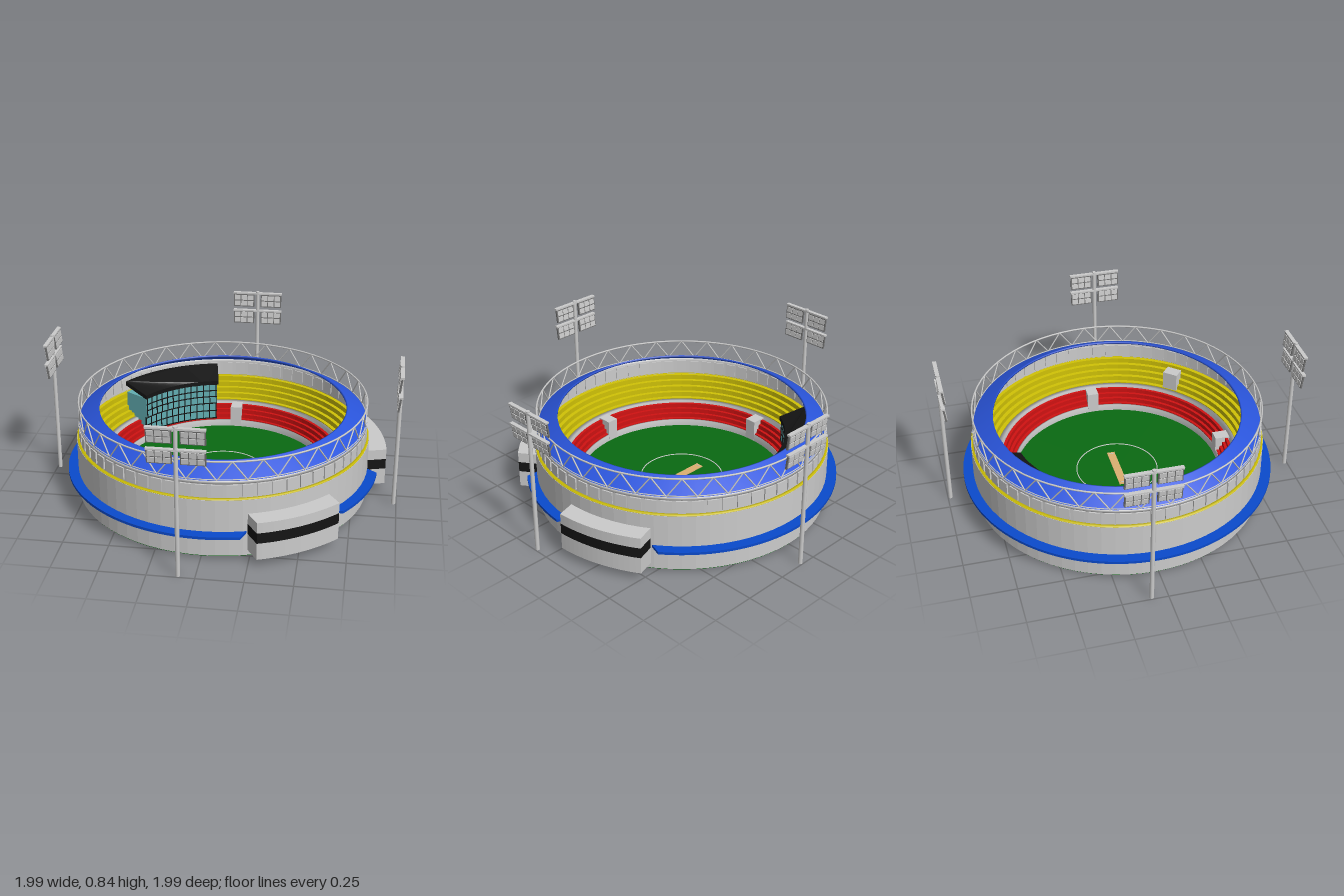
import * as THREE from 'three';
import { mergeGeometries } from 'three/addons/utils/BufferGeometryUtils.js';

const GREY = 0xcccccc, BLUE = 0x2a55dc, LEDGE = 0x0a4acc, YELLOW = 0xd0c206, RED = 0xd01212;
const GREEN = 0x0a6a12, BLACK = 0x141414, GLASS = 0x62aeb2, SAND = 0xdcb070, WHITE = 0xffffff;
const SEG = 72, RAD = Math.PI / 180;

function add(parent, name, geometry, color = GREY, flat = false) {
  const material = new THREE.MeshStandardMaterial({ color, flatShading: flat, side: THREE.DoubleSide });
  const mesh = new THREE.Mesh(geometry, material);
  mesh.name = name;
  parent.add(mesh);
  return mesh;
}

const lathe = (points) => new THREE.LatheGeometry(points.map(([r, y]) => new THREE.Vector2(r, y)), SEG);
const box = (w, h, d, x, y, z) => new THREE.BoxGeometry(w, h, d).translate(x, y, z);

// Ring with a rectangular section
const ring = (r0, r1, y0, y1) => lathe([[r0, y0], [r1, y0], [r1, y1], [r0, y1], [r0, y0]]);

// Box placed at a radius and an angle (degrees from +x towards +z), width along the tangent
const radialBox = (w, h, d, r, y, deg) => box(w, h, d, 0, y, r).rotateY((90 - deg) * RAD);

// Curved block between two radii; spread widens (or narrows) the inner side in degrees
function arcBlock(r0, r1, a0, a1, y0, y1, spread = 0) {
  const shape = new THREE.Shape();
  shape.absarc(0, 0, r1, a0 * RAD, a1 * RAD, false);
  shape.absarc(0, 0, r0, (a1 + spread) * RAD, (a0 - spread) * RAD, true);
  shape.closePath();
  const curveSegments = Math.max(8, Math.round((a1 - a0) / 4));
  return new THREE.ExtrudeGeometry(shape, { depth: y1 - y0, bevelEnabled: false, curveSegments })
    .rotateX(Math.PI / 2).translate(0, y1, 0);
}

// Thin round bar between two points
function bar(a, b, r) {
  const dir = b.clone().sub(a);
  const q = new THREE.Quaternion().setFromUnitVectors(new THREE.Vector3(0, 1, 0), dir.clone().normalize());
  const mid = a.clone().add(b).multiplyScalar(0.5);
  return new THREE.CylinderGeometry(r, r, dir.length(), 6).applyQuaternion(q).translate(mid.x, mid.y, mid.z);
}

// Stepped seating rising from (r0, y0) to (r1, y1)
function tiers(r0, y0, r1, y1, n, yBase) {
  const points = [[r0, yBase]];
  for (let i = 0; i < n; i++) {
    const y = y0 + (y1 - y0) * i / (n - 1);
    points.push([r0 + (r1 - r0) * i / n, y], [r0 + (r1 - r0) * (i + 1) / n, y]);
  }
  points.push([r1, yBase]);
  return lathe(points);
}

const polar = (r, y, a) => new THREE.Vector3(r * Math.cos(a), y, r * Math.sin(a));

function buildField(bowl) {
  add(bowl, 'field', new THREE.CylinderGeometry(0.822, 0.822, 0.07, SEG).translate(0, 0.05, 0), GREEN);
  add(bowl, 'innerCircleLine', ring(0.231, 0.236, 0.085, 0.088), WHITE);
  add(bowl, 'pitch', box(0.3, 0.006, 0.045, 0, 0.087, 0), SAND);
  for (const s of [-1, 1]) add(bowl, 'creaseLine', box(0.004, 0.002, 0.025, s * 0.135, 0.091, 0), WHITE);
}

function buildStands(bowl) {
  add(bowl, 'boundaryWall', ring(0.588, 0.596, 0.085, 0.125));
  add(bowl, 'lowerSeating', tiers(0.596, 0.13, 0.662, 0.205, 4, 0.085), RED, true);
  add(bowl, 'walkway', ring(0.671, 0.695, 0.085, 0.215));
  add(bowl, 'upperSeating', tiers(0.695, 0.22, 0.808, 0.335, 5, 0.085), YELLOW, true);
  const blocks = [0, 90, 180, 270].map((a) => radialBox(0.066, 0.125, 0.084, 0.628, 0.15, a));
  add(bowl, 'sightScreens', mergeGeometries(blocks));
  add(bowl, 'scoreBox', radialBox(0.09, 0.13, 0.07, 0.732, 0.265, 42));
}

function buildShell(bowl) {
  add(bowl, 'outerWall', ring(0.812, 0.826, 0.02, 0.345), GREY, true);
  add(bowl, 'yellowBand', ring(0.806, 0.824, 0.338, 0.35), YELLOW);
  add(bowl, 'upperWall', ring(0.798, 0.806, 0.345, 0.45), GREY, true);
  add(bowl, 'upperWallTrim', ring(0.794, 0.811, 0.432, 0.45));
  const panels = [];
  for (let i = 0; i < 64; i++) panels.push(radialBox(0.058, 0.068, 0.022, 0.802, 0.393, i * 360 / 64));
  add(bowl, 'wallPanels', mergeGeometries(panels));
  add(bowl, 'roof', lathe([[0.81, 0.45], [0.70, 0.512], [0.693, 0.512], [0.693, 0.502], [0.80, 0.444], [0.81, 0.45]]), BLUE);
  add(bowl, 'ledge', mergeGeometries([
    arcBlock(0.82, 0.882, 4, 36, 0.148, 0.163, 3),
    arcBlock(0.82, 0.882, 76.5, 323, 0.148, 0.163, 3),
  ]), LEDGE);
}

function buildTruss(bowl) {
  const truss = new THREE.Group();
  truss.name = 'roofTruss';
  bowl.add(truss);
  for (const [y, r] of [[0.557, 0.005], [0.455, 0.003]]) {
    add(truss, 'trussRing', new THREE.TorusGeometry(0.807, r, 6, SEG).rotateX(Math.PI / 2).translate(0, y, 0));
  }
  const struts = [], n = 32, step = 2 * Math.PI / n;
  for (let i = 0; i < n; i++) {
    const top = polar(0.807, 0.557, i * step);
    for (const s of [-0.5, 0.5]) struts.push(bar(polar(0.807, 0.45, (i + s) * step), top, 0.004));
  }
  add(truss, 'trussStruts', mergeGeometries(struts));
}

// Curved outer annexes with a dark window band
function buildAnnex(bowl, a0, a1) {
  const annex = new THREE.Group();
  annex.name = 'annex';
  bowl.add(annex);
  add(annex, 'annexBase', arcBlock(0.815, 0.928, a0, a1, 0.05, 0.145, 2));
  add(annex, 'annexWindows', arcBlock(0.815, 0.928, a0, a1, 0.145, 0.205, 2), BLACK);
  add(annex, 'annexTop', arcBlock(0.815, 0.928, a0, a1, 0.205, 0.265, 2));
}

// Glazed pavilion inside the bowl
function buildPavilion(bowl) {
  const pavilion = new THREE.Group();
  pavilion.name = 'pavilion';
  bowl.add(pavilion);
  add(pavilion, 'lowerGlass', arcBlock(0.603, 0.70, 212, 258, 0.09, 0.24), GLASS);
  add(pavilion, 'upperGlass', arcBlock(0.592, 0.75, 211.5, 258.5, 0.24, 0.365), GLASS);
  const frames = [];
  for (const [y, r] of [[0.13, 0.6], [0.18, 0.6], [0.235, 0.589], [0.28, 0.589], [0.32, 0.589]]) {
    frames.push(arcBlock(r, r + 0.01, 211.5, 258.5, y, y + 0.006).toNonIndexed?.() ?? null);
  }
  for (let i = 0; i <= 12; i++) {
    const a = 212 + i * 46 / 12;
    frames.push(radialBox(0.005, 0.15, 0.008, 0.603, 0.165, a).toNonIndexed());
    frames.push(radialBox(0.005, 0.125, 0.008, 0.592, 0.302, a).toNonIndexed());
  }
  add(pavilion, 'glassFrames', mergeGeometries(frames), BLACK);
  // Roof slab rises towards the back
  const slab = arcBlock(0.583, 0.745, 210.5, 259.5, 0.365, 0.39);
  const p = slab.attributes.position;
  for (let i = 0; i < p.count; i++) {
    p.setY(i, p.getY(i) + 0.3 * (Math.hypot(p.getX(i), p.getZ(i)) - 0.583));
  }
  slab.computeVertexNormals();
  add(pavilion, 'pavilionRoof', slab, BLACK);
}

function buildFloodlight() {
  const light = new THREE.Group();
  light.name = 'floodlight';
  add(light, 'pole', new THREE.CylinderGeometry(0.011, 0.012, 0.84, 10).translate(0, 0.42, 0));
  const bars = [0.714, 0.828].map((y) => box(0.3, 0.01, 0.022, 0, y, 0));
  add(light, 'crossbars', mergeGeometries(bars));
  for (const side of [-1, 1]) for (const y of [0.672, 0.782]) {
    const bank = new THREE.Group();
    bank.name = 'lampBank';
    bank.position.set(side * 0.084, y, -0.006);
    bank.rotation.x = 0.12;
    add(bank, 'lampPanel', box(0.128, 0.078, 0.01, 0, 0, 0), 0x707070);
    const lamps = [];
    for (let i = -1; i <= 1; i++) for (const j of [-1, 1]) lamps.push(box(0.035, 0.029, 0.018, i * 0.04, j * 0.018, 0));
    add(bank, 'lamps', mergeGeometries(lamps));
    light.add(bank);
  }
  return light;
}

export function createModel() {
  const model = new THREE.Group();
  model.name = 'stadium';
  const bowl = new THREE.Group();
  bowl.name = 'bowl';
  bowl.position.set(0.003, 0, -0.02);
  model.add(bowl);
  buildField(bowl);
  buildStands(bowl);
  buildShell(bowl);
  buildTruss(bowl);
  buildAnnex(bowl, -32, -2);
  buildAnnex(bowl, 41.5, 71.5);
  buildPavilion(bowl);

  // Four floodlights, each a quarter turn from the last
  for (let i = 0; i < 4; i++) {
    const mast = new THREE.Group();
    mast.name = 'floodlightMast';
    const light = buildFloodlight();
    light.position.set(-0.088, 0, 0.985);
    mast.add(light);
    mast.rotation.y = i * Math.PI / 2;
    model.add(mast);
  }
  return model;
}
